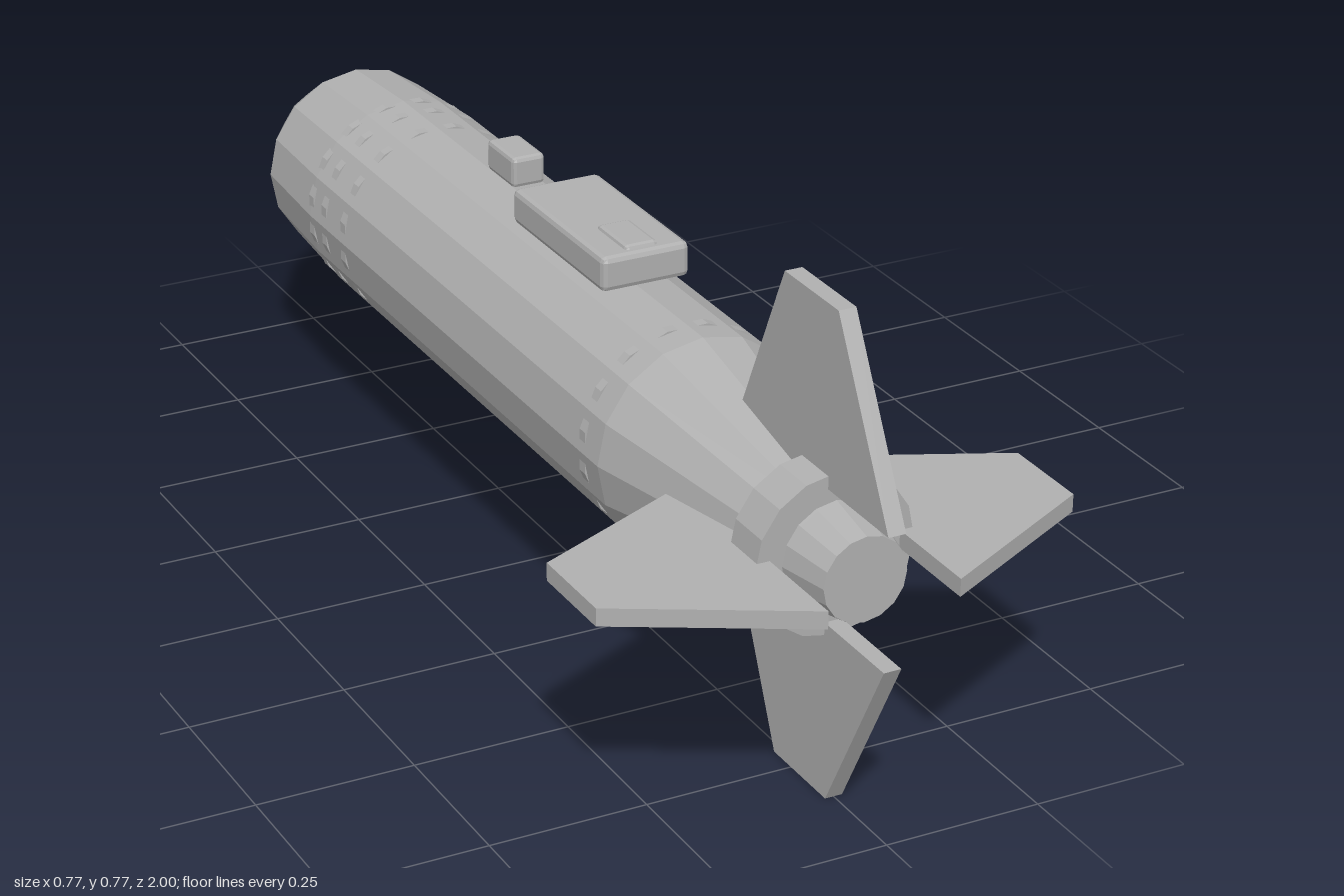
import * as THREE from 'three';
import { RoundedBoxGeometry } from 'three/addons/geometries/RoundedBoxGeometry.js';

const AXIS_Y = 0.384;
const SIDES = 16;

export function createModel() {
  const model = new THREE.Group();
  model.name = 'finnedBomb';
  const grey = new THREE.MeshStandardMaterial({ color: 0xb0b0b0, flatShading: true });
  grey.name = 'plain grey';

  const add = (name, geometry, x = 0, y = 0, z = 0, parent = model) => {
    const mesh = new THREE.Mesh(geometry, grey);
    mesh.name = name;
    mesh.position.set(x, y, z);
    parent.add(mesh);
    return mesh;
  };

  // Solid of revolution about z, from [z, radius] pairs running nose to tail
  const turned = (profile, sides = SIDES) =>
    new THREE.LatheGeometry(profile.map(([z, r]) => new THREE.Vector2(r, z)), sides).rotateX(Math.PI / 2);

  // Casing: rounded nose, straight middle, tapered tail
  add('casing', turned([
    [-0.965, 0], [-0.962, 0.02], [-0.93, 0.078], [-0.79, 0.161], [-0.6, 0.172],
    [0.44, 0.172], [0.84, 0.084], [0.92, 0.067], [0.92, 0],
  ]), 0, AXIS_Y);

  // Nose fuse
  add('noseFuse', turned([[-1, 0], [-1, 0.011], [-0.955, 0.019], [-0.955, 0]], 12), 0, AXIS_Y);

  // Tail collar
  add('tailCollar', turned([[0.76, 0], [0.76, 0.128], [0.835, 0.128], [0.835, 0]]), 0, AXIS_Y);

  // Thin seam bands, turned half a facet so only their corners stand proud
  for (const z of [-0.6, -0.55, -0.475, 0.385]) {
    const w = 0.009;
    const band = add('seamBand', turned([[z - w, 0.165], [z - w, 0.172], [z + w, 0.172], [z + w, 0.165]]), 0, AXIS_Y);
    band.rotation.z = Math.PI / SIDES;
  }

  // Four tail fins
  const finShape = new THREE.Shape([
    [0.572, 0.105], [1, 0.105], [0.85, 0.384], [0.7, 0.384],
  ].map(([z, r]) => new THREE.Vector2(z, r)));
  const finGeometry = new THREE.ExtrudeGeometry(finShape, { depth: 0.028, bevelEnabled: false })
    .translate(0, 0, -0.014).rotateY(-Math.PI / 2);
  for (let i = 0; i < 4; i++) {
    add('tailFin', finGeometry, 0, AXIS_Y, 0).rotation.z = i * Math.PI / 2;
  }

  // Mounting plate and lugs above the casing
  add('mountingPlate', new RoundedBoxGeometry(0.146, 0.056, 0.304, 1, 0.009), 0, 0.596, 0.11);
  add('rearLug', new RoundedBoxGeometry(0.056, 0.05, 0.096, 1, 0.007), 0, 0.605, 0.2);
  add('frontLug', new RoundedBoxGeometry(0.056, 0.05, 0.094, 1, 0.007), 0, 0.605, -0.178);

  return model;
}
